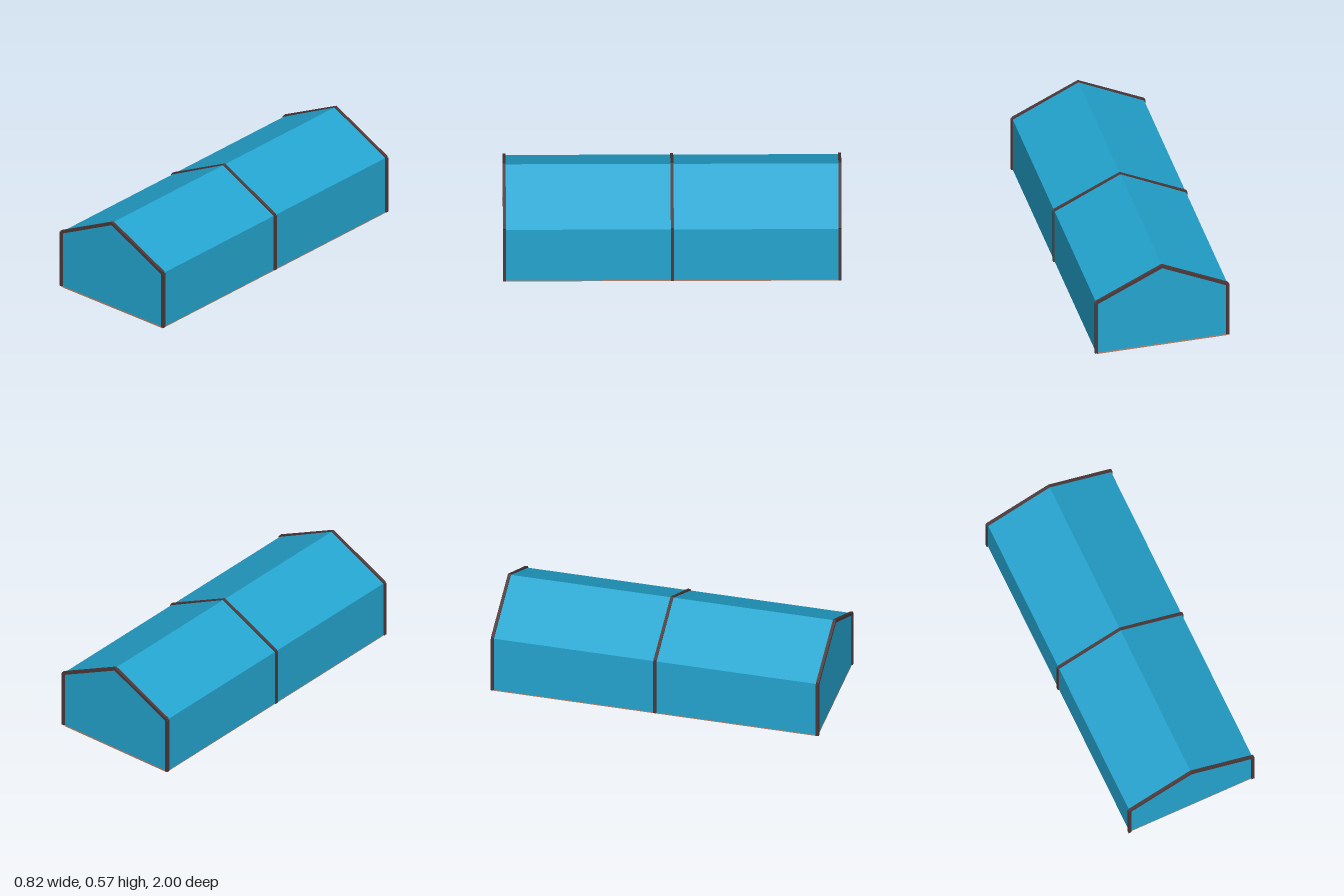
import * as THREE from 'three';

const HALF_W = 0.4, EAVE = 0.368, RIDGE = 0.562, BASE = 0.01, BAR = 0.018, LENGTH = 1.98;

export function createModel() {
  const group = new THREE.Group();
  group.name = 'tent';
  const mat = (name, color) => new THREE.MeshStandardMaterial({ name, color, flatShading: true });
  const canvas = mat('blue canvas', 0x24a5d0);
  const frame = mat('dark brown frame', 0x4e3838);
  const wood = mat('tan floor', 0xb8846c);

  const add = (parent, name, geometry, material, x = 0, y = 0, z = 0) => {
    const mesh = new THREE.Mesh(geometry, material);
    mesh.name = name;
    mesh.position.set(x, y, z);
    parent.add(mesh);
    return mesh;
  };

  // Floor slab
  add(group, 'floor', new THREE.BoxGeometry(0.79, BASE, LENGTH), wood, 0, BASE / 2, 0);

  // Gabled canvas body, closed at both ends
  const gable = new THREE.Shape([
    [-HALF_W, BASE], [HALF_W, BASE], [HALF_W, EAVE], [0, RIDGE + 0.005], [-HALF_W, EAVE],
  ].map(([x, y]) => new THREE.Vector2(x, y)));
  const body = new THREE.ExtrudeGeometry(gable, { depth: LENGTH, bevelEnabled: false });
  add(group, 'canvasCover', body, canvas, 0, 0, -LENGTH / 2);

  // Three frames, each with two posts and two rafters
  const postHeight = EAVE - BASE;
  const postGeometry = new THREE.BoxGeometry(BAR, postHeight, BAR);
  const rise = RIDGE - EAVE, angle = Math.atan2(rise, HALF_W);
  // Right-hand rafter outline, mitred at the ridge and square at the eave
  const dx = Math.sin(angle) * BAR / 2, dy = Math.cos(angle) * BAR / 2;
  const v = BAR / 2 / Math.cos(angle);
  const outline = (side) => new THREE.Shape([
    [0, RIDGE - v], [side * (HALF_W - dx), EAVE - dy], [side * (HALF_W + dx), EAVE + dy], [0, RIDGE + v],
  ].map(([x, y]) => new THREE.Vector2(x, y)));

  [['front', 0.99], ['middle', 0], ['back', -0.99]].forEach(([name, z]) => {
    const arch = new THREE.Group();
    arch.name = name + 'Frame';
    arch.position.z = z;
    for (const side of [-1, 1]) {
      const label = side > 0 ? 'left' : 'right';
      add(arch, label + 'Post', postGeometry, frame, side * HALF_W, BASE + postHeight / 2, 0);
      const rafter = new THREE.ExtrudeGeometry(outline(side), { depth: BAR, bevelEnabled: false });
      add(arch, label + 'Rafter', rafter, frame, 0, 0, -BAR / 2);
    }
    group.add(arch);
  });

  return group;
}
